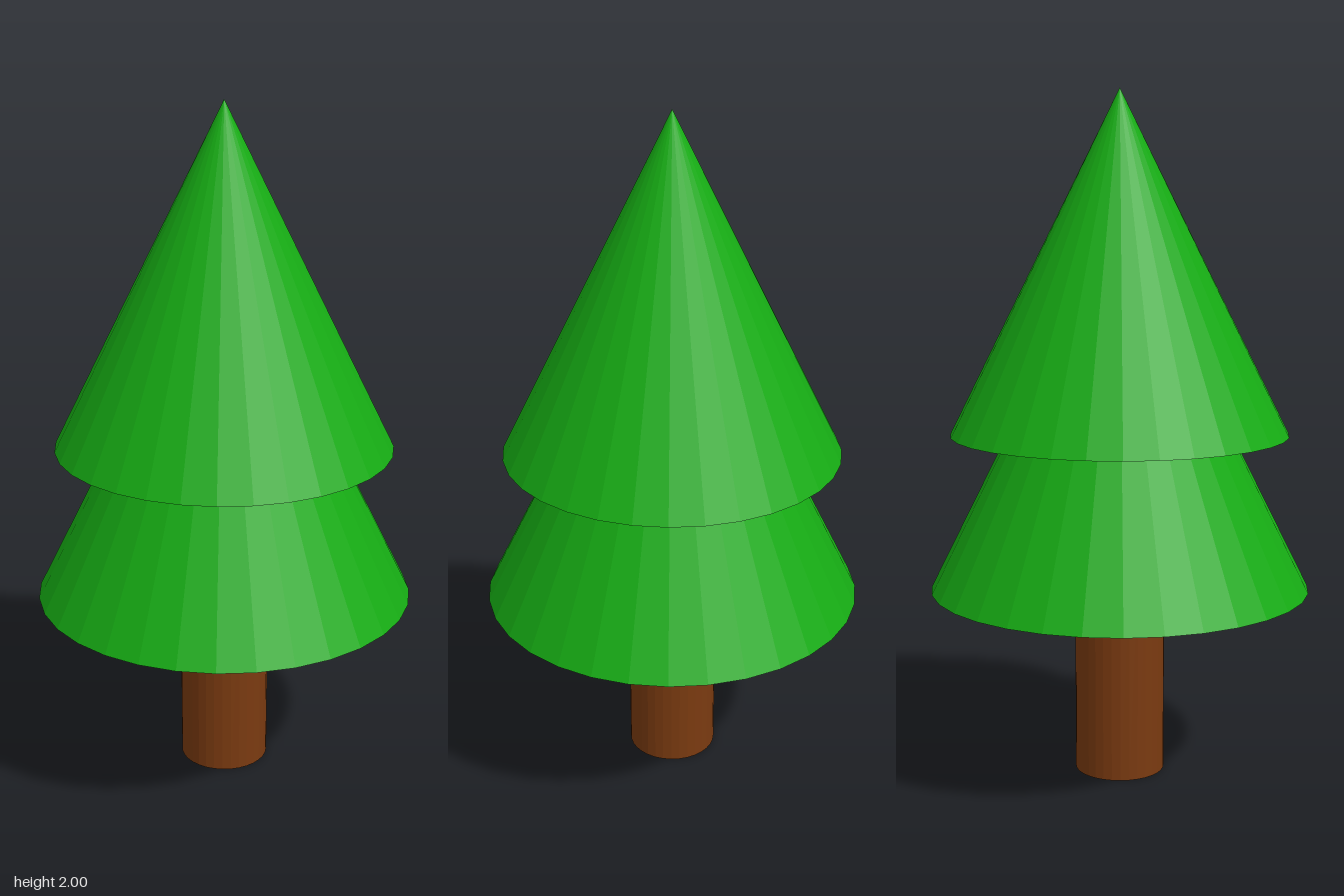
import * as THREE from 'three';

const SIDES = 32;

export function createModel() {
  const tree = new THREE.Group();
  tree.name = 'tree';

  const bark = new THREE.MeshStandardMaterial({ color: 0x7a3a10, flatShading: true });
  const leaves = new THREE.MeshStandardMaterial({ color: 0x16ac14, flatShading: true });

  // Places a geometry of the given height with its base at y
  const add = (name, geometry, material, y) => {
    const mesh = new THREE.Mesh(geometry, material);
    mesh.name = name;
    mesh.position.y = y + geometry.parameters.height / 2;
    tree.add(mesh);
  };

  // Trunk, ending just inside the lower foliage
  add('trunk', new THREE.CylinderGeometry(0.132, 0.132, 0.6, SIDES), bark, 0);

  // Two stacked foliage cones, the upper one overlapping the lower tip
  add('lowerFoliage', new THREE.ConeGeometry(0.556, 1.111, SIDES), leaves, 0.556);
  add('upperFoliage', new THREE.ConeGeometry(0.494, 0.988, SIDES), leaves, 1.012);

  return tree;
}
